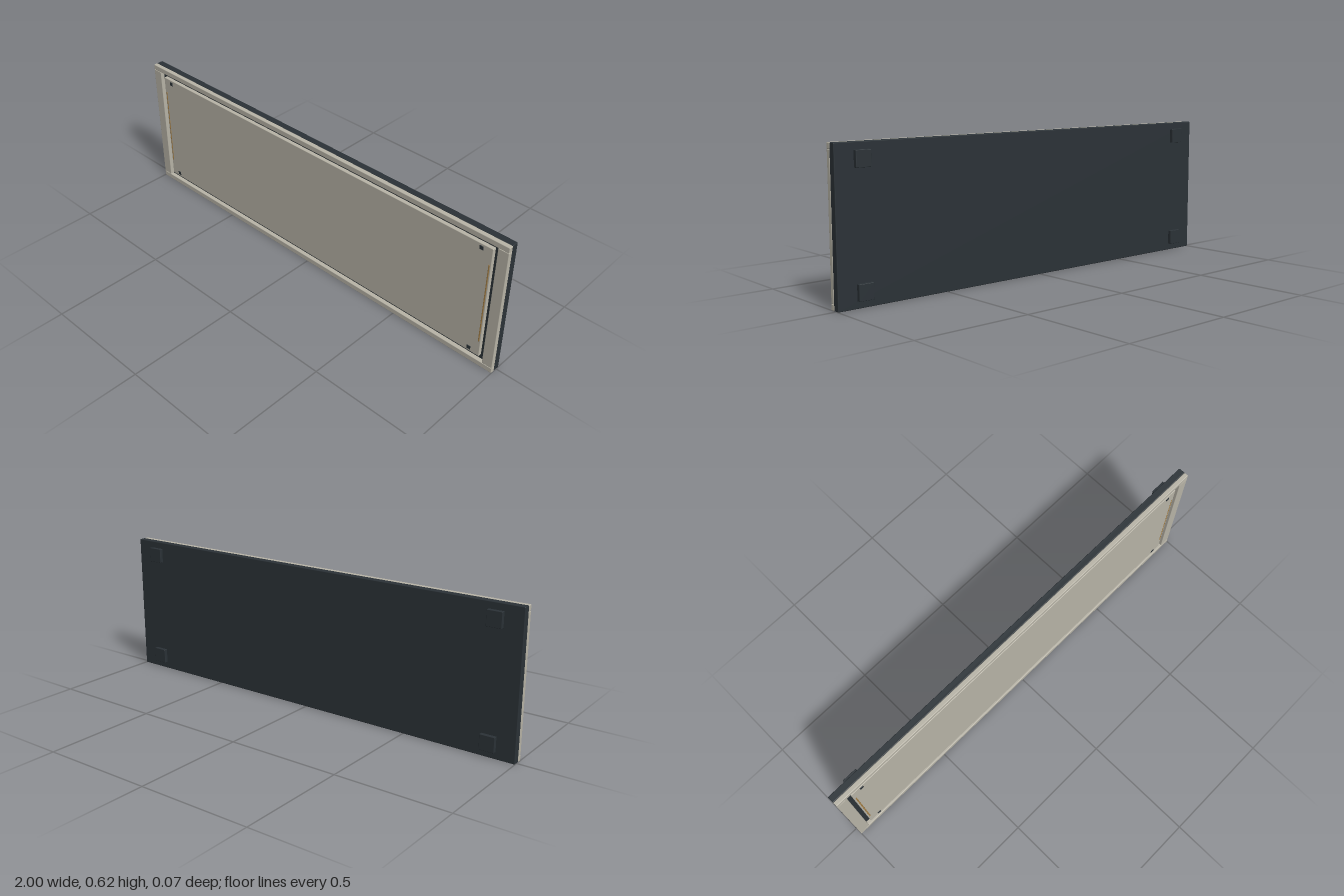
import * as THREE from 'three';
import { RoundedBoxGeometry } from 'three/addons/geometries/RoundedBoxGeometry.js';

const W = 2, H = 0.625;

export function createModel() {
  const model = new THREE.Group();
  model.name = 'framedPanel';

  const beige = new THREE.MeshStandardMaterial({ color: 0xb8b4a7 });
  const dark = new THREE.MeshStandardMaterial({ color: 0x2b3237 });
  const brass = new THREE.MeshStandardMaterial({ color: 0xa8834a });

  // Box given by its limits on each axis, with softened edges
  function block(name, material, [x0, x1], [y0, y1], [z0, z1], radius = 0.003) {
    const geometry = new RoundedBoxGeometry(x1 - x0, y1 - y0, z1 - z0, 2, radius);
    const mesh = new THREE.Mesh(geometry, material);
    mesh.name = name;
    mesh.position.set((x0 + x1) / 2, (y0 + y1) / 2, (z0 + z1) / 2);
    model.add(mesh);
  }
  const around = (c, size) => [c - size / 2, c + size / 2];

  // Dark backing slab, seen through the shadow gap
  block('backingSlab', dark, [-W / 2, W / 2], [0, H], [-0.016, 0.014]);

  // Face frame: full-width rails with stiles between them
  const frameZ = [0.014, 0.034];
  block('bottomRail', beige, [-W / 2, W / 2], [0, 0.025], frameZ);
  block('topRail', beige, [-W / 2, W / 2], [H - 0.025, H], frameZ);
  for (const s of [-1, 1]) {
    block(s > 0 ? 'leftStile' : 'rightStile', beige,
      around(s * 0.976, 0.048), [0.025, H - 0.025], frameZ);
  }

  // Inset centre panel
  block('centrePanel', beige, [-0.933, 0.933], [0.044, H - 0.044], [0.013, 0.031]);

  for (const s of [-1, 1]) {
    const side = s > 0 ? 'left' : 'right';
    // Thin brass inlay near each end of the panel
    block(side + 'Inlay', brass, around(s * 0.924, 0.006), [0.12, 0.505], [0.028, 0.032], 0.001);

    for (const t of [-1, 1]) {
      const corner = side + (t > 0 ? 'Upper' : 'Lower');
      // Small square fastener in each panel corner
      block(corner + 'Fastener', dark, around(s * 0.883, 0.017),
        around(H / 2 + t * 0.25, 0.017), [0.026, 0.033], 0.001);
      // Square mounting pad on the back
      block(corner + 'MountingPad', dark, around(s * 0.885, 0.066),
        around(H / 2 + t * 0.25, 0.066), [-0.032, -0.015], 0.002);
    }
  }
  return model;
}
